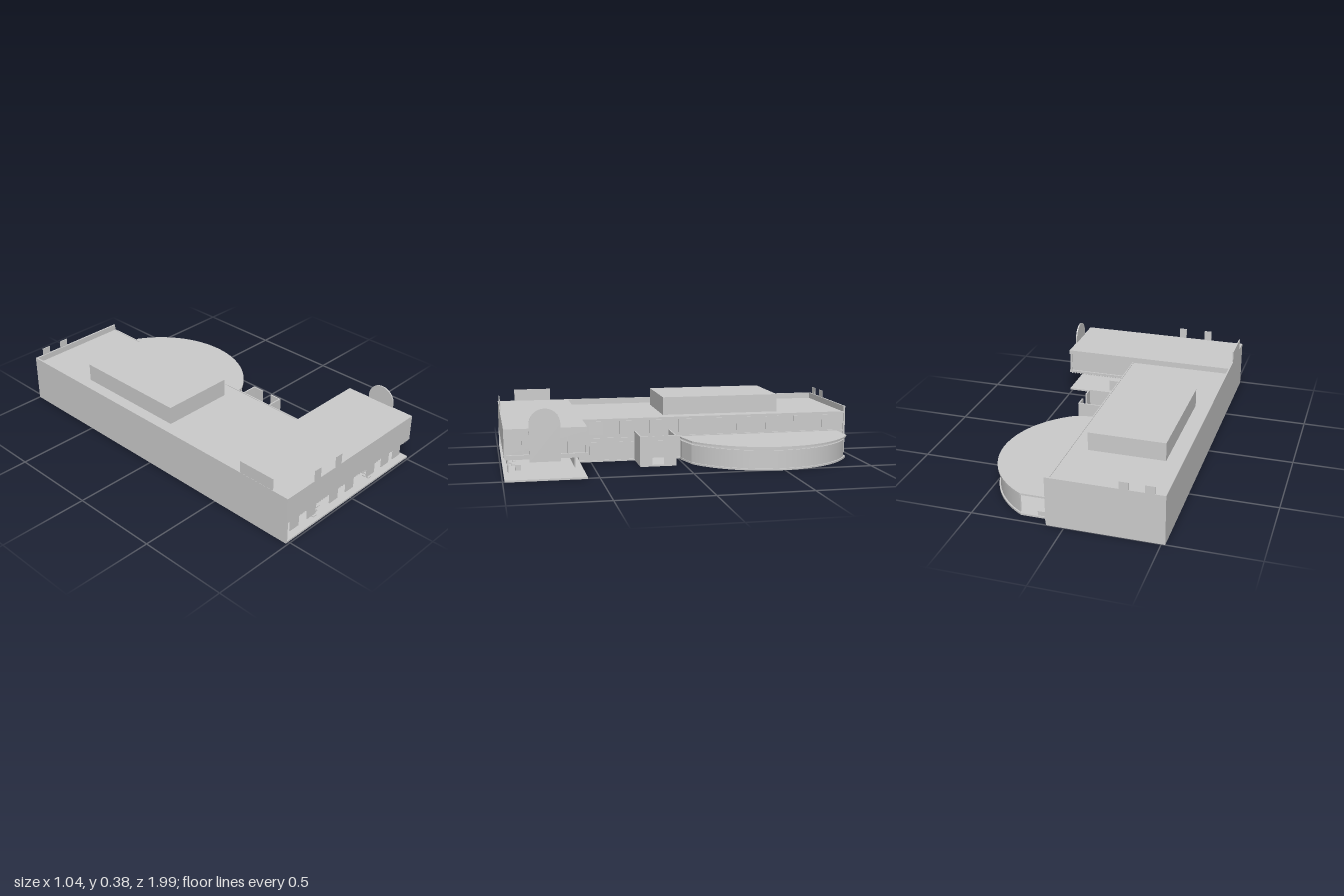
import * as THREE from 'three';

const mat = new THREE.MeshStandardMaterial({ color: 0xcccccc });
mat.name = 'light grey';

export function createModel() {
  const root = new THREE.Group();
  root.name = 'building';

  const add = (name, geometry, parent = root) => {
    const mesh = new THREE.Mesh(geometry, mat);
    mesh.name = name;
    parent.add(mesh);
    return mesh;
  };
  // box given by its min and max on each axis
  const box = (name, x0, x1, y0, y1, z0, z1, parent) => {
    const g = new THREE.BoxGeometry(x1 - x0, y1 - y0, z1 - z0);
    g.translate((x0 + x1) / 2, (y0 + y1) / 2, (z0 + z1) / 2);
    return add(name, g, parent);
  };
  // plan outline (x, -z) raised from y0 to y1
  const slab = (name, shape, y0, y1) => {
    const g = new THREE.ExtrudeGeometry(shape, { depth: y1 - y0, bevelEnabled: false, curveSegments: 48 });
    g.rotateX(-Math.PI / 2);
    g.translate(0, y0, 0);
    return add(name, g);
  };

  // ground slabs
  box('mainFloor', -0.52, 0.095, 0, 0.01, -1, 0.565);
  box('frontFloor', -0.52, 0.515, 0, 0.01, 0.565, 0.99);
  box('entranceFloor', 0.095, 0.28, 0, 0.01, 0.05, 0.25);

  // main wing: body, parapets and roof box
  box('mainBody', -0.51, 0.09, 0.01, 0.24, -0.99, 0.565);
  box('floorBand', 0.09, 0.097, 0.126, 0.135, -0.99, 0.565);
  box('roofEdge', 0.09, 0.097, 0.232, 0.243, -0.99, 0.565);
  box('sideWall', -0.52, -0.51, 0.01, 0.274, -1, 0.99);
  box('backWall', -0.52, 0.097, 0.01, 0.274, -1, -0.99);
  box('roofBox', -0.42, 0, 0.24, 0.342, -0.61, 0.07);

  // windows on the long side
  const windows = new THREE.Group();
  windows.name = 'sideWindows';
  root.add(windows);
  for (let i = 0; i < 9; i++) {
    const z = 0.508 - i * 0.1705;
    box('upperWindow', 0.09, 0.096, 0.153, 0.228, z - 0.08, z, windows);
    if (i < 3) box('lowerWindow', 0.09, 0.096, 0.035, 0.11, z - 0.08, z, windows);
  }

  // tabs standing on the parapets
  for (const x of [-0.465, -0.335]) box('backTab', x, x + 0.05, 0.27, 0.315, -1, -0.995);
  for (const x of [-0.315, -0.15]) box('frontTab', x, x + 0.045, 0.27, 0.335, 0.985, 0.99);
  box('sideTab', -0.519, -0.513, 0.27, 0.342, 0.675, 0.89);

  // front block: upper storey shell with recessed end
  box('frontWall', -0.52, 0.515, 0.124, 0.274, 0.98, 0.99);
  box('frontRoof', -0.515, 0.515, 0.25, 0.274, 0.565, 0.985);
  box('frontCeiling', -0.515, 0.515, 0.124, 0.138, 0.565, 0.985);
  box('rearUpperWall', -0.515, 0.5, 0.138, 0.25, 0.575, 0.585);
  box('endWall', 0.49, 0.5, 0.138, 0.25, 0.58, 0.985);
  for (const z of [0.568, 0.66, 0.89]) box('endPost', 0.5, 0.512, 0.138, 0.25, z, z + 0.008);

  // slats under the upper storey
  const slats = new THREE.Group();
  slats.name = 'ceilingSlats';
  root.add(slats);
  for (let i = 0; i < 57; i++) {
    const x = -0.508 + i * 0.018;
    box('slat', x, x + 0.005, 0.113, 0.124, 0.575, 0.985, slats);
  }

  // arched panel on the end
  const arch = new THREE.Shape();
  arch.moveTo(-0.08, 0.1);
  arch.lineTo(0.08, 0.1);
  arch.lineTo(0.08, 0.295);
  arch.absarc(0, 0.295, 0.08, 0, Math.PI, false);
  const archGeo = new THREE.ExtrudeGeometry(arch, { depth: 0.008, bevelEnabled: false, curveSegments: 24 });
  archGeo.rotateY(Math.PI / 2);
  archGeo.translate(0.511, 0, 0.782);
  add('archPanel', archGeo);

  // ground floor front: hanging panels, low wall, round room
  for (const x of [-0.467, -0.335, -0.155, -0.022, 0.162, 0.292, 0.397])
    box('hangingPanel', x, x + 0.066, 0.037, 0.11, 0.965, 0.97);
  box('lowWall', -0.055, 0.26, 0.01, 0.08, 0.6, 0.608);
  const room = new THREE.CylinderGeometry(0.088, 0.088, 0.082, 24);
  room.translate(-0.39, 0.051, 0.81);
  add('roundRoom', room);
  box('bench', -0.155, -0.105, 0.01, 0.032, 0.85, 0.89);
  box('seat', 0.36, 0.4, 0.035, 0.065, 0.9, 0.93);

  // leaning stacks of small blocks
  for (const [cx, lean] of [[-0.255, 0.03], [0.18, -0.03]]) {
    const stack = new THREE.Group();
    stack.name = 'blockStack';
    root.add(stack);
    for (let i = 0; i < 16; i++) {
      const t = i / 15, y = 0.018 + 0.09 * t;
      const x = cx + lean * (t - 0.5) + 0.012 * Math.sin(i * 2.4);
      const z = 0.945 + 0.016 * Math.cos(i * 2.4);
      box('block', x - 0.013, x + 0.013, y, y + 0.005, z - 0.008, z + 0.008, stack);
    }
  }

  // curved wing
  const CX = -0.007, CZ = 0.49, A = 1.061;
  const outline = (r) => {
    const s = new THREE.Shape();
    s.moveTo(0.095, CZ - r * Math.sin(A) + 0.455);
    s.moveTo(0.095, 0.01);
    s.lineTo(0.13, 0.01);
    s.lineTo(CX + r * Math.cos(1.017), CZ - r * Math.sin(1.017));
    s.absarc(CX, CZ, r, -1.017, A, false);
    s.lineTo(0.095, CZ + r * Math.sin(A));
    s.closePath();
    return s;
  };
  slab('wingFloor', outline(0.523), 0, 0.01);
  slab('wingRoof', outline(0.527), 0.12, 0.13);
  const ring = new THREE.Shape();
  ring.absarc(CX, CZ, 0.515, -1.05, 1.03, false);
  ring.absarc(CX, CZ, 0.507, 1.03, -1.05, true);
  slab('wingWall', ring, 0.01, 0.108);
  const straight = new THREE.Shape();
  straight.moveTo(0.095, 0.014);
  straight.lineTo(0.13, 0.014);
  straight.lineTo(0.253, 0.045);
  straight.lineTo(0.25, 0.053);
  straight.lineTo(0.13, 0.022);
  straight.lineTo(0.095, 0.022);
  slab('wingFrontWall', straight, 0.01, 0.108);
  box('backStep', 0.095, 0.16, 0.01, 0.035, -0.94, -0.9);

  // entrance porch: two side walls and two panels flanking the doorway
  box('porchWall', 0.095, 0.28, 0.01, 0.17, 0.245, 0.253);
  box('porchWall', 0.095, 0.28, 0.01, 0.17, 0.048, 0.056);
  box('porchPanel', 0.273, 0.281, 0.01, 0.17, 0.182, 0.253);
  box('porchPanel', 0.273, 0.281, 0.01, 0.17, 0.048, 0.118);

  return root;
}
